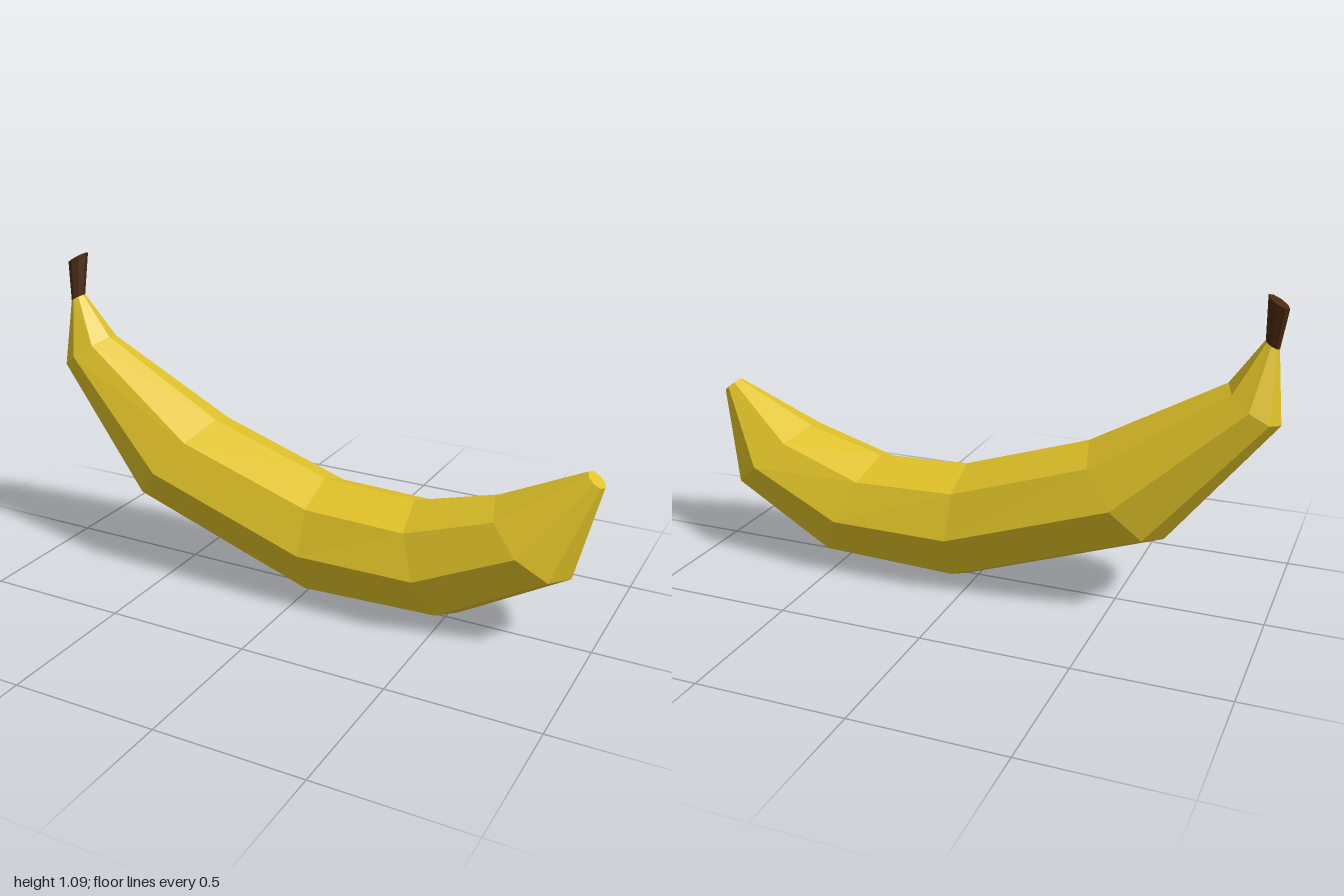
import * as THREE from 'three';

const SIDES = 8;

// Each ring: inner-curve point (x, y), outer-curve point (x, y), z centre, z half width
const STEM_TOP = [-0.934, 1.092, -1.0, 1.052, -0.02, 0.039];
const NECK = [-0.932, 0.945, -0.976, 0.92, 0.011, 0.028];
const TIP = [0.94, 0.615, 0.995, 0.57, 0, 0.037];
const BODY = [
  NECK,
  [-0.83, 0.8, -1.0, 0.68, 0.006, 0.104],
  [-0.39, 0.555, -0.655, 0.245, 0.002, 0.208],
  [0.04, 0.415, 0.04, 0, -0.004, 0.207],
  [0.37, 0.4, 0.54, 0.022, -0.006, 0.207],
  [0.65, 0.475, 0.915, 0.24, -0.004, 0.182],
  TIP,
];

function ringPoint([ix, iy, ox, oy, z, w], j) {
  const a = (j / SIDES) * Math.PI * 2;
  const c = Math.cos(a);
  return [
    (ix + ox) / 2 + (c * (ix - ox)) / 2,
    (iy + oy) / 2 + (c * (iy - oy)) / 2,
    z + Math.sin(a) * w,
  ];
}

// Faceted skin through the rings, with a flat cap at the start and/or end
function loft(rings, capStart, capEnd) {
  const pos = [];
  const centre = (r) => [(r[0] + r[2]) / 2, (r[1] + r[3]) / 2, r[4]];
  const first = rings[0];
  const last = rings[rings.length - 1];
  for (let j = 0; j < SIDES; j++) {
    for (let i = 0; i < rings.length - 1; i++) {
      const a = ringPoint(rings[i], j);
      const b = ringPoint(rings[i], j + 1);
      const c = ringPoint(rings[i + 1], j + 1);
      const d = ringPoint(rings[i + 1], j);
      pos.push(...a, ...b, ...d, ...b, ...c, ...d);
    }
    if (capStart) pos.push(...centre(first), ...ringPoint(first, j + 1), ...ringPoint(first, j));
    if (capEnd) pos.push(...centre(last), ...ringPoint(last, j), ...ringPoint(last, j + 1));
  }
  const geometry = new THREE.BufferGeometry();
  geometry.setAttribute('position', new THREE.Float32BufferAttribute(pos, 3));
  geometry.computeVertexNormals();
  return geometry;
}

export function createModel() {
  const group = new THREE.Group();
  group.name = 'banana';

  const yellow = new THREE.MeshStandardMaterial({ color: 0xe0c228 });
  yellow.name = 'yellow peel';
  yellow.flatShading = true;
  const brown = new THREE.MeshStandardMaterial({ color: 0x4a2a10 });
  brown.name = 'brown stem';
  brown.flatShading = true;

  // Curved peel, closed at the blunt tip
  const peel = new THREE.Mesh(loft(BODY, false, true), yellow);
  peel.name = 'peel';

  // Stem flaring out from the neck to its cut end
  const stem = new THREE.Mesh(loft([STEM_TOP, NECK], true, false), brown);
  stem.name = 'stem';

  group.add(peel, stem);
  return group;
}
